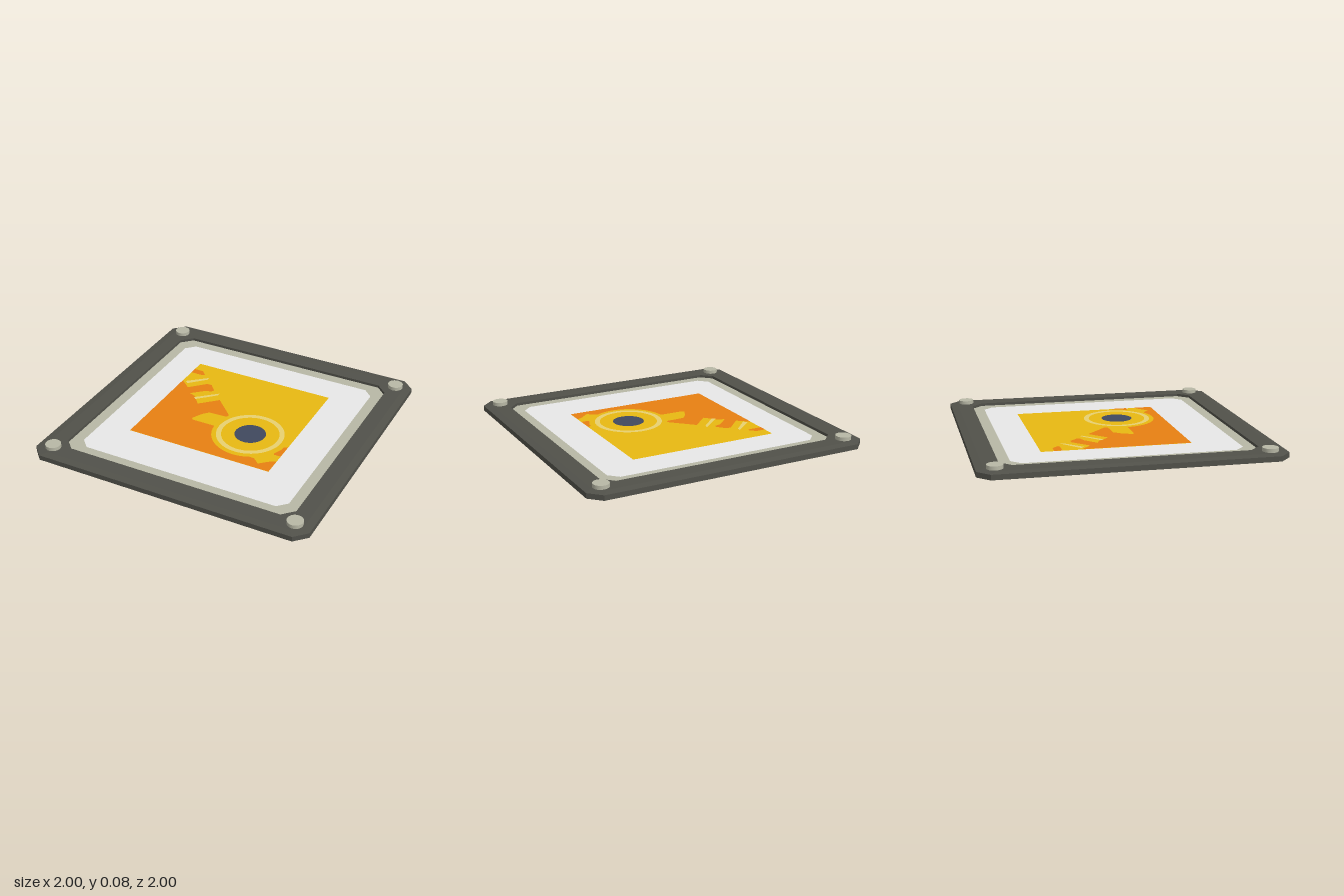
import * as THREE from 'three';

const mat = (name, color) => {
  const m = new THREE.MeshStandardMaterial({ color });
  m.name = name;
  return m;
};

// Square with cut corners, as [x, z] points running from +x towards +z
function octagon(h, c) {
  const k = h - c;
  return [[h, -k], [h, k], [k, h], [-k, h], [-h, k], [-h, -k], [-k, -h], [k, -h]];
}

// Flat-shaded skin through a list of [half size, corner cut, y] rings
function loftRings(rings) {
  const pos = [];
  const loops = rings.map(([h, c, y]) => octagon(h, c).map(([x, z]) => [x, y, z]));
  for (let r = 0; r < loops.length - 1; r++) {
    for (let i = 0; i < 8; i++) {
      const j = (i + 1) % 8;
      const a = loops[r][i], b = loops[r + 1][i], c = loops[r][j], d = loops[r + 1][j];
      pos.push(...a, ...b, ...c, ...c, ...b, ...d);
    }
  }
  const g = new THREE.BufferGeometry();
  g.setAttribute('position', new THREE.Float32BufferAttribute(pos, 3));
  g.computeVertexNormals();
  return g;
}

// Flat upward-facing sheet from [x, z] points
function sheet(points) {
  const shape = new THREE.Shape(points.map(([x, z]) => new THREE.Vector2(x, -z)));
  return new THREE.ShapeGeometry(shape).rotateX(-Math.PI / 2);
}

const percent = pts => pts.map(([x, z]) => [x / 100, z / 100]);

export function createModel() {
  const group = new THREE.Group();
  const dark = mat('dark frame', 0x51514a);
  const olive = mat('grey green', 0xb7b7a5);
  const white = mat('white', 0xffffff);
  const yellow = mat('yellow', 0xffcc15);
  const orange = mat('orange', 0xff8e15);
  const cream = mat('pale yellow', 0xffe67c);
  const navy = mat('navy', 0x40485e);

  const add = (name, geometry, material, x = 0, y = 0, z = 0) => {
    const m = new THREE.Mesh(geometry, material);
    m.name = name;
    m.position.set(x, y, z);
    group.add(m);
    return m;
  };

  // Frame with closed back, slightly tapered rim and recessed opening
  add('frame', loftRings([
    [0, 0, 0], [0.95, 0.07, 0], [1, 0.08, 0.008], [1, 0.08, 0.043],
    [0.95, 0.07, 0.05], [0.845, 0.075, 0.05], [0.845, 0.075, 0.028],
  ]), dark);

  // Recessed panels
  add('borderPanel', sheet(octagon(0.846, 0.075)), olive, 0, 0.031);
  add('whitePanel', sheet(octagon(0.765, 0.063)), white, 0, 0.034);

  // Corner studs
  for (const x of [-0.887, 0.887]) {
    for (const z of [-0.882, 0.882]) {
      add('cornerStud', new THREE.CylinderGeometry(0.053, 0.053, 0.035, 32), olive, x, 0.0575, z);
    }
  }

  // Painted square
  add('paintedSquare', sheet(percent([[-54.5, -54.5], [50.7, -54.5], [50.7, 46.3], [-54.5, 46.3]])),
    yellow, 0, 0.036);

  // Orange areas
  const orangeAreas = [
    [[-54.5, 46.3], [-54.5, -27.5], [-46.5, -20.6], [-36, -31], [-32.5, -31.3], [-27.3, -25.4],
      [-28.3, -23.3], [-32.6, -22], [-41.2, -14.2], [-36.4, -12.6], [-29.4, -4.5], [-17.6, -15.8],
      [-2.7, -1.3], [-3.2, 1.3], [-16.6, 1.9], [-20.3, 6.1], [-24.1, 13.6], [-22.5, 15.2],
      [-5.3, 15.2], [10, 20], [32.6, 37], [35.8, 37.2], [40.6, 41.4], [47, 35.6], [50.7, 34], [50.7, 46.3]],
    [[50.7, 15.8], [48.2, 16.8], [48, 20], [45.3, 26], [46, 27.5], [50.7, 27.5]],
    [[-54.5, -45.7], [-47.6, -45.7], [-43.3, -41.4], [-45, -40.4], [-54.5, -40.4]],
  ];
  for (const area of orangeAreas) add('orangeArea', sheet(percent(area)), orange, 0, 0.0375);

  // Pale diagonal stripes
  const stripes = [
    [[-51.9, -27.5], [-49.4, -25.2], [-38.5, -36.2], [-38.5, -39]],
    [[-35.8, -10.6], [-33.7, -8.8], [-21.6, -20.6], [-21.6, -23.3]],
  ];
  for (const s of stripes) add('paleStripe', sheet(percent(s)), cream, 0, 0.039);

  // Round emblem: disc, ring and dark centre
  const flat = g => g.rotateX(-Math.PI / 2);
  add('disc', flat(new THREE.CircleGeometry(0.267, 64)), yellow, 0.211, 0.039, 0.131);
  add('ring', flat(new THREE.RingGeometry(0.2, 0.235, 64)), cream, 0.211, 0.0405, 0.131);
  add('discCentre', flat(new THREE.CircleGeometry(0.108, 48)), navy, 0.211, 0.0405, 0.131);

  return group;
}
